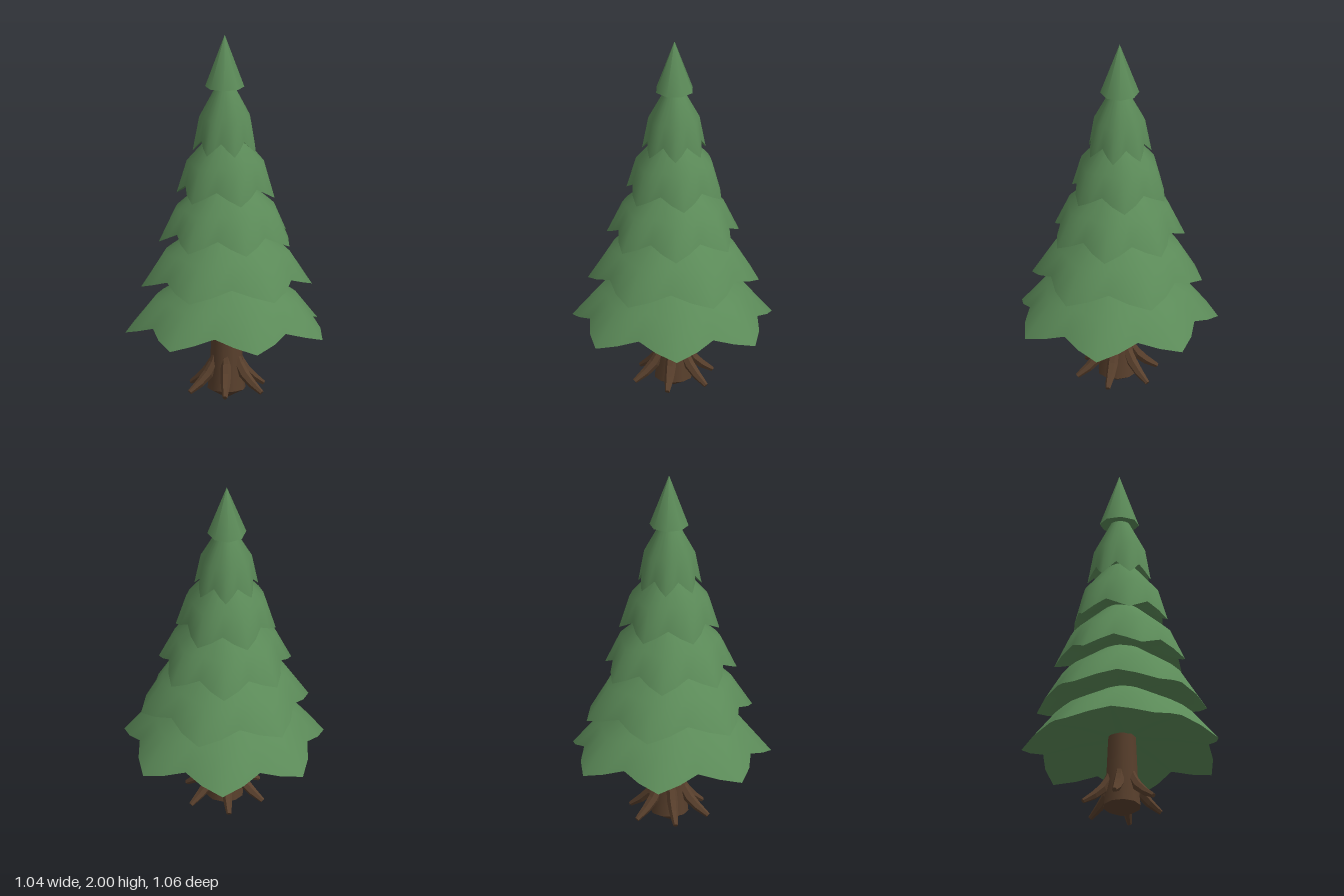
import * as THREE from 'three';

const needles = new THREE.MeshStandardMaterial({ color: 0x5b8a58 });
needles.name = 'needleGreen';
const bark = new THREE.MeshStandardMaterial({ color: 0x583f2c });
bark.name = 'barkBrown';

// Skin a list of closed rings (each an array of Vector3 with equal counts).
function loft(rings) {
  const n = rings[0].length;
  const index = [];
  for (let i = 0; i < rings.length - 1; i++) {
    for (let j = 0; j < n; j++) {
      const k = (j + 1) % n;
      const a = i * n + j, b = i * n + k, c = a + n, d = b + n;
      index.push(a, b, d, a, d, c);
    }
  }
  const geo = new THREE.BufferGeometry().setFromPoints(rings.flat());
  geo.setIndex(index);
  geo.computeVertexNormals();
  return geo;
}

function add(parent, name, geo, mat) {
  const mesh = new THREE.Mesh(geo, mat);
  mesh.name = name;
  parent.add(mesh);
  return mesh;
}

// Scalloped skirt of branches: tips reach out and droop, valleys pull in and lift.
function makeTier({ x, y, r, tips, phase, mid, top }) {
  const count = tips * 4;
  const start = THREE.MathUtils.degToRad(phase);
  const ring = (radius, wave, height, lift) =>
    Array.from({ length: count }, (_, j) => {
      const a = start + (j / count) * Math.PI * 2;
      const c = Math.cos(tips * (a - start));
      const rr = radius * (1 + wave * c);
      return new THREE.Vector3(Math.cos(a) * rr, height - lift * c, -Math.sin(a) * rr);
    });
  const rim = () => ring(r * 0.92, 0.087, 0.035, 0.035);
  const tier = new THREE.Group();
  tier.position.set(x, y, 0);
  add(tier, 'tierTop', loft([
    rim(),
    ring(r * mid * 0.965, 0.04, 0.19, 0.008),
    ring(top, 0, 0.37, 0),
  ]), needles);
  add(tier, 'tierUnderside', loft([
    ring(0.001, 0, 0.09, 0),
    ring(r * 0.5, 0.03, 0.085, 0.006),
    rim(),
  ]), needles);
  return tier;
}

// Tapered root running outward along +x and down to the ground.
function makeRootGeometry() {
  const curve = new THREE.CatmullRomCurve3([
    new THREE.Vector3(0.055, 0.27, 0),
    new THREE.Vector3(0.085, 0.18, 0),
    new THREE.Vector3(0.14, 0.115, 0),
    new THREE.Vector3(0.222, 0.055, 0),
  ]);
  const radii = [0.016, 0.027, 0.029, 0.024, 0.013];
  const ringAt = (t, radius) => {
    const p = curve.getPoint(t), d = curve.getTangent(t);
    return Array.from({ length: 6 }, (_, j) => {
      const a = (j / 6) * Math.PI * 2;
      const u = Math.sin(a) * radius;
      return new THREE.Vector3(p.x + d.y * u, p.y - d.x * u, Math.cos(a) * radius);
    });
  };
  const rings = radii.map((radius, i) => ringAt(i / (radii.length - 1), radius));
  rings.push(ringAt(1, 0.0005));
  const geo = loft(rings).toNonIndexed();
  geo.computeVertexNormals();
  return geo;
}

export function createModel() {
  const tree = new THREE.Group();
  tree.name = 'pineTree';

  // Trunk with a shallow pointed foot
  const trunk = new THREE.Group();
  trunk.name = 'trunk';
  trunk.position.x = 0.02;
  tree.add(trunk);
  const lathe = (pts) => new THREE.LatheGeometry(pts.map(([r, y]) => new THREE.Vector2(r, y)), 10);
  add(trunk, 'trunkShaft', lathe([[0.102, 0.055], [0.088, 0.2], [0.077, 0.44], [0.07, 0.6]]), bark);
  add(trunk, 'trunkFoot', lathe([[0, 0], [0.102, 0.055]]), bark);

  // Six spreading roots
  const rootGeo = makeRootGeometry();
  for (let i = 0; i < 6; i++) {
    add(trunk, 'root', rootGeo, bark).rotation.y = -Math.PI / 4 - (i * Math.PI) / 3;
  }

  // Branch tiers from bottom to top
  [
    { x: 0.027, y: 0.37, r: 0.546, tips: 7, phase: 180, mid: 0.72, top: 0.08 },
    { x: 0.02, y: 0.62, r: 0.457, tips: 6, phase: 51.4, mid: 0.74, top: 0.07 },
    { x: 0.019, y: 0.867, r: 0.362, tips: 7, phase: 180, mid: 0.76, top: 0.06 },
    { x: 0.013, y: 1.115, r: 0.268, tips: 6, phase: 95, mid: 0.79, top: 0.05 },
    { x: 0.01, y: 1.365, r: 0.175, tips: 7, phase: 180, mid: 0.8, top: 0.04 },
  ].forEach((spec) => {
    const tier = makeTier(spec);
    tier.name = 'branchTier';
    tree.add(tier);
  });

  // Pointed crown
  const crown = add(tree, 'crown', new THREE.ConeGeometry(0.105, 0.285, 8), needles);
  crown.position.set(0.006, 1.8575, 0);

  return tree;
}
